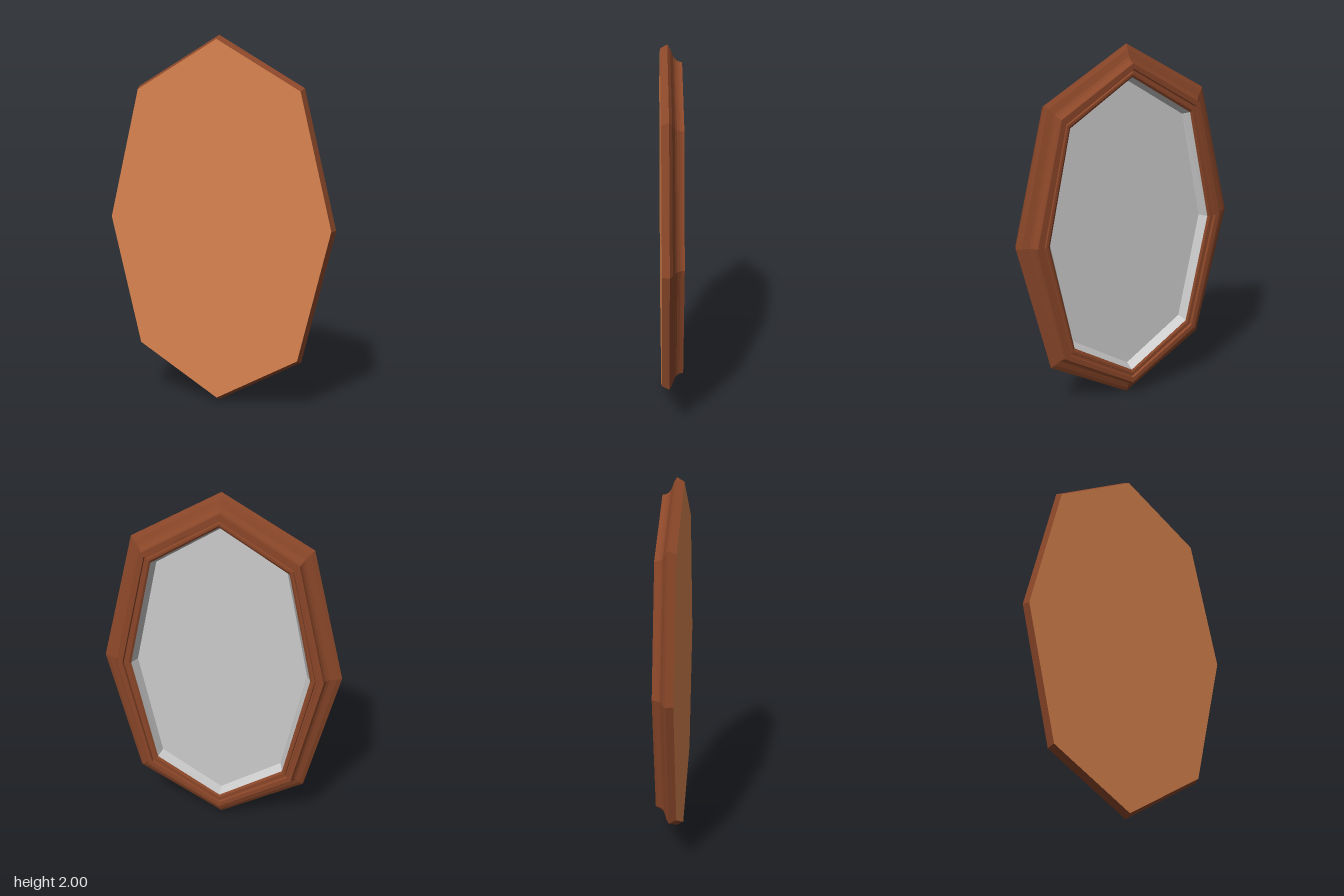
import * as THREE from 'three';

// Quarter outline of the octagon, mirrored to all eight corners (centre at 0,0)
const OUTLINE = [
  [0.657, 0], [0.477, 0.728], [0, 1], [-0.477, 0.728],
  [-0.657, 0], [-0.477, -0.728], [0, -1], [0.477, -0.728],
];

// One octagon ring: corners pulled inwards by inset, then scaled about the centre
function ring([inset, z, scale = 1]) {
  return OUTLINE.map(([x, y], i) => {
    const a = (i * Math.PI) / 4;
    return [
      (x - inset * Math.cos(a)) * scale,
      (y - inset * Math.sin(a)) * scale + 1,
      z,
    ];
  });
}

// Flat-shaded surface through a profile of [inset, z, scale] rings
function loft(name, color, profile) {
  const rings = profile.map(ring);
  const pos = [];
  for (let r = 0; r < rings.length - 1; r++) {
    const a = rings[r], b = rings[r + 1];
    for (let i = 0; i < 8; i++) {
      const j = (i + 1) % 8;
      if (profile[r][2] !== 0) pos.push(...a[i], ...b[i], ...a[j]);
      if (profile[r + 1][2] !== 0) pos.push(...b[i], ...b[j], ...a[j]);
    }
  }
  const geo = new THREE.BufferGeometry();
  geo.setAttribute('position', new THREE.Float32BufferAttribute(pos, 3));
  geo.computeVertexNormals();
  const mesh = new THREE.Mesh(geo, new THREE.MeshStandardMaterial({ color, flatShading: true }));
  mesh.name = name;
  return mesh;
}

export function createModel() {
  const group = new THREE.Group();
  group.name = 'octagonalMirror';

  // Flat backing panel facing +z
  group.add(loft('backingPanel', 0xd9844f, [[0, 0.055, 0], [0, 0.055, 0.978]]));

  // Moulded frame: chamfered rim, cove, raised band, then small inner steps
  group.add(loft('frame', 0x8b4729, [
    [0, 0.055, 0.978],
    [0, 0.017],
    [0.025, 0.002],
    [0.062, -0.012],
    [0.076, -0.022],
    [0.086, -0.036],
    [0.09, -0.048],
    [0.09, -0.058],
    [0.118, -0.058],
    [0.122, -0.044],
    [0.134, -0.044],
    [0.138, -0.052],
    [0.152, -0.052],
    [0.164, -0.044],
  ]));

  // Glass with a sloping bevelled border, facing -z
  group.add(loft('mirrorGlass', 0xcccccc, [
    [0.164, -0.044],
    [0.188, 0.008],
    [0.188, 0.008, 0],
  ]));

  return group;
}
